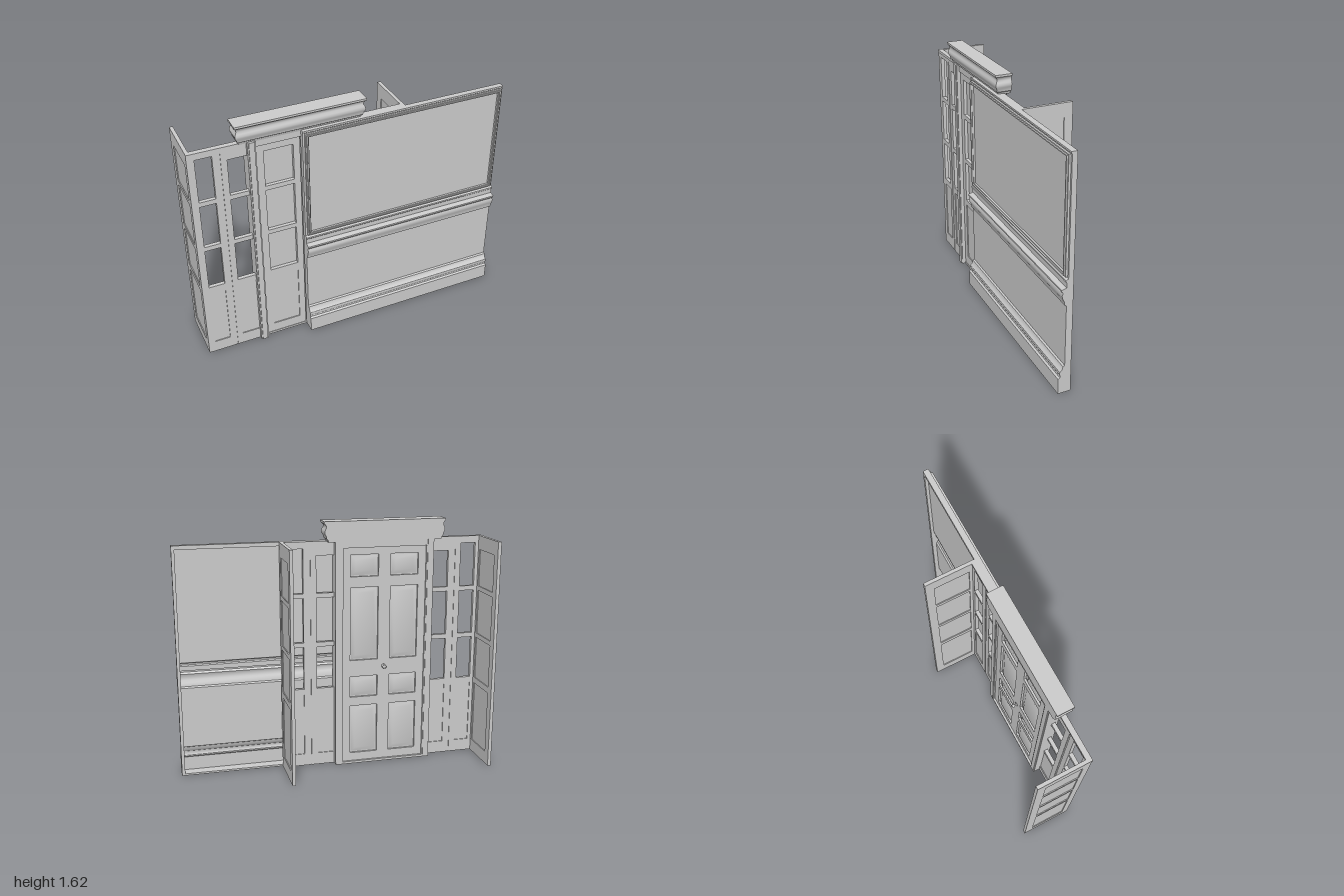
import * as THREE from 'three';
import { toCreasedNormals } from 'three/addons/utils/BufferGeometryUtils.js';

const mat = new THREE.MeshStandardMaterial({ color: 0xcccccc });
const CX = -0.33; // centre line of the door and its screen

function add(parent, name, geo) {
  const m = new THREE.Mesh(geo, mat);
  m.name = name;
  parent.add(m);
  return m;
}

// Box given by its limits
function box(parent, name, x0, x1, y0, y1, z0, z1) {
  const m = add(parent, name, new THREE.BoxGeometry(x1 - x0, y1 - y0, z1 - z0));
  m.position.set((x0 + x1) / 2, (y0 + y1) / 2, (z0 + z1) / 2);
  return m;
}

function rect(Type, x0, x1, y0, y1) {
  return new Type([[x0, y0], [x1, y0], [x1, y1], [x0, y1]].map(p => new THREE.Vector2(...p)));
}

// Flat frame with rectangular openings, from z0 to z1
function frame(parent, name, [x0, x1, y0, y1], holes, z0, z1) {
  const s = rect(THREE.Shape, x0, x1, y0, y1);
  s.holes = holes.map(h => rect(THREE.Path, ...h));
  const m = add(parent, name, new THREE.ExtrudeGeometry(s, { depth: z1 - z0, bevelEnabled: false }));
  m.position.z = z0;
  return m;
}

// Outline of [z, y] points swept along x
function sweepX(parent, name, pts, x0, x1) {
  const s = new THREE.Shape(pts.map(([z, y]) => new THREE.Vector2(-z, y)));
  const g = new THREE.ExtrudeGeometry(s, { depth: x1 - x0, bevelEnabled: false });
  g.rotateY(Math.PI / 2);
  const m = add(parent, name, toCreasedNormals(g, 0.6));
  m.position.x = x0;
  return m;
}

// Skin over equal rings of points, with both ends closed
function loft(rings) {
  const pos = [], n = rings[0].length;
  const tri = (a, b, c) => pos.push(...a, ...b, ...c);
  for (let i = 0; i < rings.length - 1; i++) {
    for (let j = 0; j < n; j++) {
      const k = (j + 1) % n, a = rings[i], b = rings[i + 1];
      tri(a[j], a[k], b[k]);
      tri(a[j], b[k], b[j]);
    }
  }
  const lo = rings[0], hi = rings[rings.length - 1];
  for (let j = 1; j < n - 1; j++) {
    tri(lo[0], lo[j + 1], lo[j]);
    tri(hi[0], hi[j], hi[j + 1]);
  }
  const g = new THREE.BufferGeometry();
  g.setAttribute('position', new THREE.Float32BufferAttribute(pos, 3));
  g.computeVertexNormals();
  return toCreasedNormals(g, 0.6);
}

// Ring of four corners in the xy plane
const ringXY = (x0, x1, y0, y1, z) => [[x0, y0, z], [x1, y0, z], [x1, y1, z], [x0, y1, z]];

const ROWS = [[0.08, 0.49], [0.53, 0.81], [0.84, 1.13], [1.16, 1.4]];
const column = (x0, x1, top = 1.4) => ROWS.map(([a, b], i) => [x0, x1, a, i === 3 ? top : b]);

// Glazed side bay, modelled in distances from the centre line
function sideBay(side) {
  const g = new THREE.Group();
  g.name = side < 0 ? 'rightSideBay' : 'leftSideBay';
  const span = (a, b) => [CX + side * a, CX + side * b].sort((p, q) => p - q);
  const panes = [
    ['outerSash', 0.488, 0.67, 0.525, 0.625, 1.445],
    ['innerSash', 0.275, 0.478, 0.315, 0.44, 1.4],
  ];
  for (const [name, a, b, c, d, top] of panes) {
    frame(g, name, [...span(a, b), 0, 1.455], column(...span(c, d), top), 0.1, 0.125);
    box(g, name + 'LowerPanel', ...span(c - 0.01, d + 0.01), 0.07, 0.5, 0.106, 0.119);
  }
  box(g, 'mullion', ...span(0.475, 0.491), 0, 1.455, 0.104, 0.121);
  // Door jamb with a raised face
  box(g, 'doorJamb', ...span(0.275, 0.325), 0, 1.49, 0.06, 0.145);
  box(g, 'doorJambFace', ...span(0.283, 0.317), 0, 1.49, 0.055, 0.152);
  // Return wing with recessed panels on both faces
  const wing = new THREE.Group();
  wing.name = 'returnWing';
  frame(wing, 'wingFrame', [-0.125, 0.205, 0, 1.49], column(-0.08, 0.15), 0, 0.022);
  box(wing, 'wingPanels', -0.1, 0.17, 0.05, 1.43, 0.006, 0.016);
  wing.rotation.y = Math.PI / 2;
  wing.position.x = side < 0 ? -1 : 0.318;
  g.add(wing);
  return g;
}

function door() {
  const g = new THREE.Group();
  g.name = 'door';
  const x0 = CX - 0.275, x1 = CX + 0.275;
  // Front leaves
  for (const s of [-1, 1]) {
    const [a, b] = [CX + s * 0.004, CX + s * 0.272].sort((p, q) => p - q);
    const [c, d] = [CX + s * 0.045, CX + s * 0.225].sort((p, q) => p - q);
    frame(g, 'frontLeaf', [a, b, 0.005, 1.455], column(c, d), 0.1, 0.122);
    box(g, 'frontLeafLowerPanel', c - 0.01, d + 0.01, 0.07, 0.5, 0.104, 0.116);
  }
  // Panelled rear face: two columns of raised fields
  const rows = [[0.07, 0.4], [0.46, 0.6], [0.71, 1.19], [1.26, 1.4]];
  const cols = [[CX - 0.225, CX - 0.04], [CX + 0.04, CX + 0.225]];
  const holes = cols.flatMap(c => rows.map(r => [...c, ...r]));
  box(g, 'doorCore', x0, x1, 0, 1.455, 0.084, 0.1);
  frame(g, 'doorStiles', [x0, x1, 0, 1.455], holes, 0.07, 0.086);
  for (const [a, b, c, d] of holes) {
    const rings = [[0.008, 0.084], [0.035, 0.074]].map(([i, z]) => ringXY(a + i, b - i, c + i, d - i, z));
    add(g, 'raisedField', loft(rings.reverse()));
  }
  // Knob on the rear face
  const pts = [[0, 0], [0.014, 0], [0.014, 0.004], [0.005, 0.007], [0.005, 0.016],
    [0.012, 0.021], [0.013, 0.027], [0.008, 0.033], [0, 0.034]].map(p => new THREE.Vector2(...p));
  const knob = add(g, 'doorKnob', new THREE.LatheGeometry(pts, 16));
  knob.rotation.x = -Math.PI / 2;
  knob.position.set(CX, 0.66, 0.071);
  box(g, 'threshold', x0 - 0.05, x1 + 0.05, 0, 0.015, 0.055, 0.125);
  box(g, 'lintel', x0, x1, 1.445, 1.49, 0.06, 0.13);
  return g;
}

// Moulding returned around the front and both ends
function cornice() {
  const profile = [[0.0, 1.485], [0.004, 1.5], [0.012, 1.506], [0.014, 1.52], [0.022, 1.535], [0.025, 1.548],
    [0.021, 1.562], [0.014, 1.575], [0.015, 1.588], [0.022, 1.598], [0.028, 1.602], [0.028, 1.615]];
  const rings = profile.map(([d, y]) => {
    const a = CX - 0.37 - d, b = CX + 0.37 + d, f = 0.135 + d;
    return [[a, y, f], [b, y, f], [b, y, 0.055], [a, y, 0.055]];
  });
  return loft(rings);
}

function panelledWall() {
  const g = new THREE.Group();
  g.name = 'panelledWall';
  // Skirting, dado, chair rail and upper wall
  const front = [[0.204, 0], [0.204, 0.1], [0.192, 0.108], [0.19, 0.118], [0.196, 0.13], [0.194, 0.145],
    [0.18, 0.16], [0.175, 0.18], [0.164, 0.186], [0.164, 0.58], [0.175, 0.588], [0.178, 0.61],
    [0.187, 0.628], [0.192, 0.65], [0.186, 0.666], [0.196, 0.678], [0.196, 0.688], [0.164, 0.695],
    [0.164, 0.725], [0.171, 0.732], [0.171, 0.742], [0.155, 0.75], [0.155, 1.475], [0.16, 1.48], [0.16, 1.49]];
  const back = front.map(([z, y]) => [z - 0.012, y]).reverse();
  sweepX(g, 'wallFace', [...front, ...back], -0.33, 1);
  // Solid edges behind the face
  const solid = [...front, [0.123, 1.49], [0.123, 0]];
  sweepX(g, 'wallRightEnd', solid, -0.33, -0.315);
  sweepX(g, 'wallLeftEnd', solid, 0.98, 1);
  box(g, 'wallTopEdge', -0.32, 0.99, 1.465, 1.49, 0.123, 0.156);
  box(g, 'wallBottomEdge', -0.32, 0.99, 0, 0.012, 0.123, 0.2);
  // Picture frame moulding on the upper wall, in two steps
  frame(g, 'frameMoulding', [-0.318, 0.988, 0.756, 1.472], [[-0.296, 0.966, 0.776, 1.452]], 0.15, 0.168);
  frame(g, 'frameBead', [-0.311, 0.981, 0.763, 1.465], [[-0.302, 0.972, 0.77, 1.458]], 0.165, 0.177);
  return g;
}

export function createModel() {
  const model = new THREE.Group();
  model.name = 'panelledDoorway';
  model.add(sideBay(-1), sideBay(1), door(), panelledWall());
  // Header over the whole screen
  box(model, 'header', -1, 0.34, 1.45, 1.475, 0.1, 0.125);
  box(model, 'headerCap', -1, 0.34, 1.472, 1.49, 0.097, 0.13);
  add(model, 'cornice', cornice());
  return model;
}
